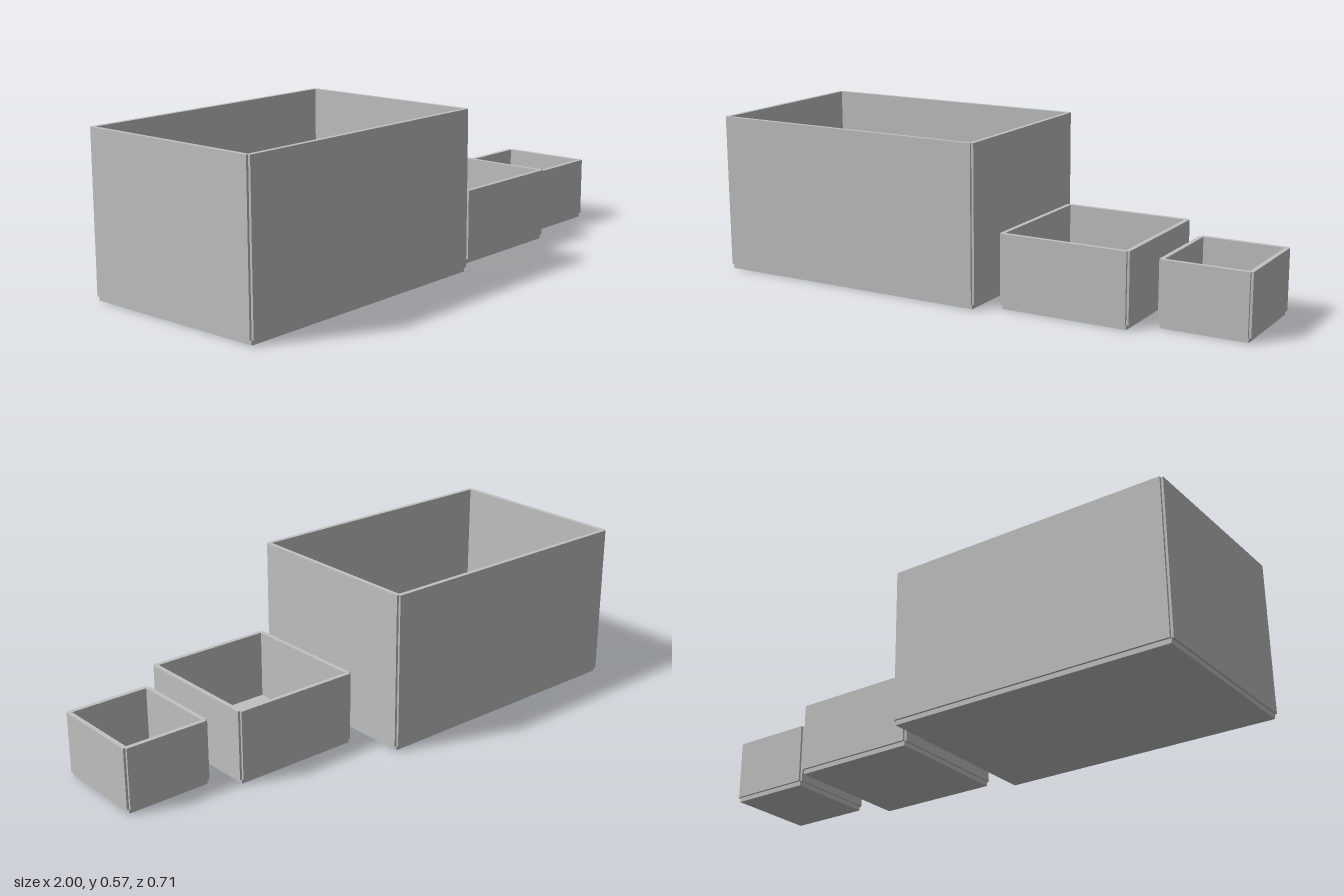
import * as THREE from 'three';

const T = 0.0165; // panel thickness

export function createModel() {
  const model = new THREE.Group();
  const grey = new THREE.MeshStandardMaterial({ color: 0xc0c0c0 });
  grey.name = 'light grey';

  function panel(parent, name, size, position) {
    const mesh = new THREE.Mesh(new THREE.BoxGeometry(...size), grey);
    mesh.name = name;
    mesh.position.set(...position);
    parent.add(mesh);
  }

  // Open tray: walls stand on the floor, centred on its edges, leaving notched corners
  function tray(name, x, z, width, depth, top) {
    const group = new THREE.Group();
    group.name = name;
    group.position.set(x, 0, z);
    const h = top - T, y = T + h / 2;
    panel(group, 'floor', [width, T, depth], [0, T / 2, 0]);
    for (const [side, s] of [['front', 1], ['back', -1]])
      panel(group, side + 'Wall', [width, h, T], [0, y, s * depth / 2]);
    for (const [side, s] of [['left', 1], ['right', -1]])
      panel(group, side + 'Wall', [T, h, depth], [s * width / 2, y, 0]);
    model.add(group);
  }

  tray('largeBox', -0.471, 0, 1.042, 0.698, 0.575);
  tray('mediumBox', 0.368, 0.049, 0.464, 0.488, 0.266);
  tray('smallBox', 0.839, 0.049, 0.305, 0.339, 0.234);
  return model;
}
